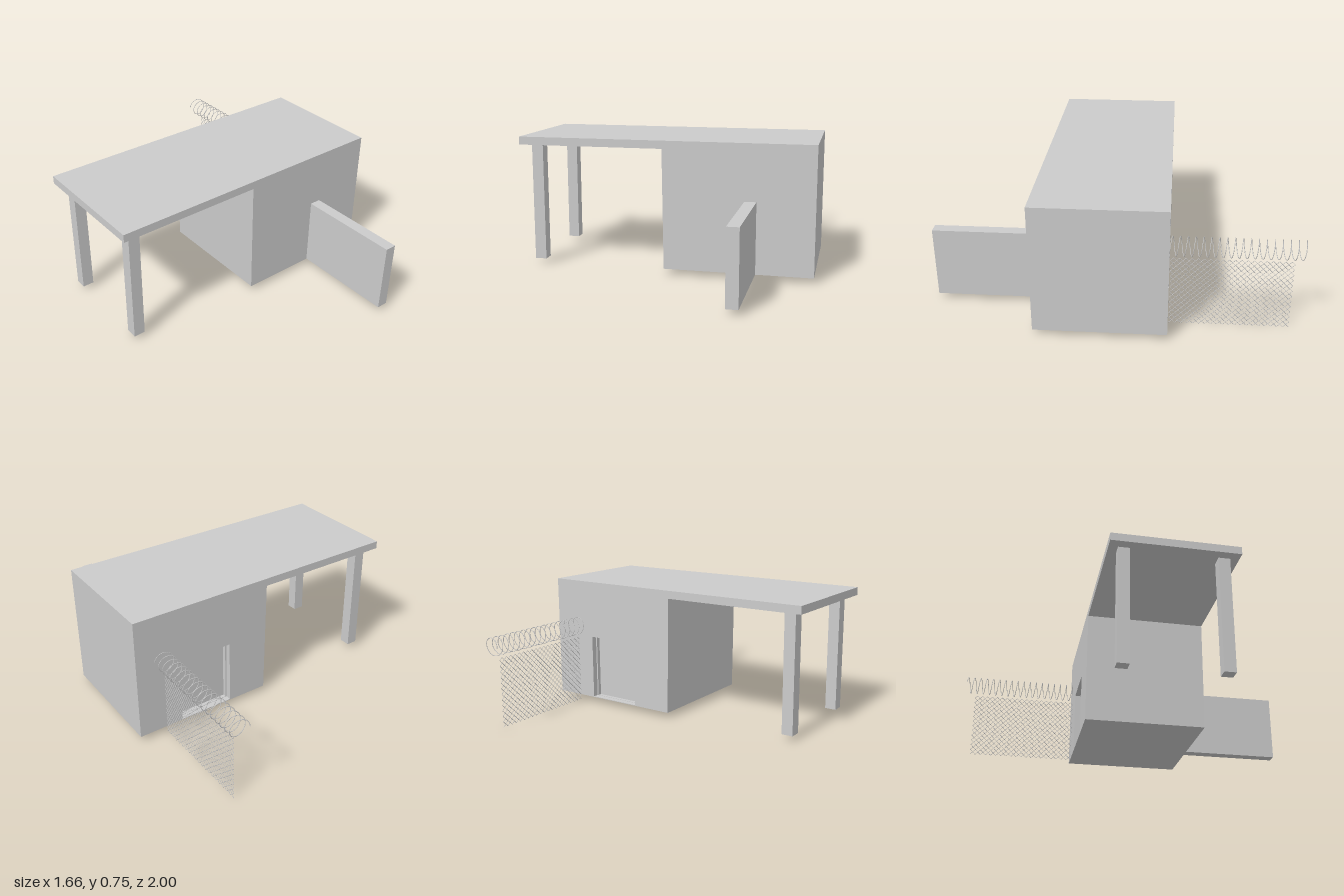
import * as THREE from 'three';

const grey = new THREE.MeshStandardMaterial({ color: 0xcccccc, flatShading: true });
const wireGrey = new THREE.MeshStandardMaterial({ color: 0xcccccc });

function add(parent, name, geometry, material = grey) {
  const mesh = new THREE.Mesh(geometry, material);
  mesh.name = name;
  parent.add(mesh);
  return mesh;
}

// Box given by its minimum and maximum corners
function block(parent, name, [x0, y0, z0], [x1, y1, z1]) {
  const mesh = add(parent, name, new THREE.BoxGeometry(x1 - x0, y1 - y0, z1 - z0));
  mesh.position.set((x0 + x1) / 2, (y0 + y1) / 2, (z0 + z1) / 2);
}

// Front outline of house and overhanging roof, with an optional doorway [x0, x1, y0, y1]
function houseSlice(z0, z1, door) {
  const shape = new THREE.Shape([
    [0.005, 0.03], [0.83, 0.03], [0.83, 0.745], [-0.83, 0.745], [-0.83, 0.7], [-0.005, 0.7],
  ].map(([x, y]) => new THREE.Vector2(x, y)));
  if (door) {
    const [a, b, c, d] = door;
    shape.holes.push(new THREE.Path([[a, c], [a, d], [b, d], [b, c]].map(([x, y]) => new THREE.Vector2(x, y))));
  }
  return new THREE.ExtrudeGeometry(shape, { depth: z1 - z0, bevelEnabled: false }).translate(0, 0, z0);
}

class Helix extends THREE.Curve {
  constructor(x, y, z0, z1, radius, turns) {
    super();
    Object.assign(this, { x, y, z0, z1, radius, turns });
  }
  getPoint(t, target = new THREE.Vector3()) {
    const a = t * this.turns * Math.PI * 2;
    return target.set(
      this.x + this.radius * Math.cos(a),
      this.y + this.radius * Math.sin(a),
      this.z0 + (this.z1 - this.z0) * t,
    );
  }
}

// Diamond mesh: two sets of diagonal wires clipped to the fence rectangle
function buildFence() {
  const fence = new THREE.Group();
  fence.name = 'wireFence';
  const x = 0.667, z0 = -0.94, length = 0.64, height = 0.4, pitch = 0.032, radius = 0.0015;
  for (const mirror of [false, true]) {
    for (let c = -height + pitch / 2; c < length; c += pitch) {
      const s0 = Math.max(0, c), s1 = Math.min(length, c + height);
      const toZ = (s) => z0 + (mirror ? length - s : s);
      const a = new THREE.Vector3(x, s0 - c, toZ(s0));
      const b = new THREE.Vector3(x, s1 - c, toZ(s1));
      const wire = add(fence, 'fenceWire', new THREE.CylinderGeometry(radius, radius, a.distanceTo(b), 5), wireGrey);
      wire.position.addVectors(a, b).multiplyScalar(0.5);
      wire.quaternion.setFromUnitVectors(new THREE.Vector3(0, 1, 0), b.sub(a).normalize());
    }
  }
  return fence;
}

export function createModel() {
  const model = new THREE.Group();
  model.name = 'guardHouse';

  // House and roof, with a stepped doorway recessed into the back wall
  add(model, 'houseAndRoof', houseSlice(-0.24, 0.415));
  add(model, 'doorFrame', houseSlice(-0.262, -0.24, [0.253, 0.557, 0.036, 0.403]));
  add(model, 'backWall', houseSlice(-0.295, -0.262, [0.245, 0.565, 0.034, 0.41]));

  // Posts under the overhang
  for (const z of [-0.245, 0.3]) block(model, 'roofPost', [-0.775, 0.03, z], [-0.71, 0.7, z + 0.065]);

  // Low wall reaching out from the front
  block(model, 'frontWall', [0.45, 0.03, 0.415], [0.515, 0.43, 1]);

  // Fence behind the house with coiled wire along its top
  model.add(buildFence());
  const helix = new Helix(0.667, 0.47, -0.295, -0.999, 0.052, 17.5);
  add(model, 'coiledWire', new THREE.TubeGeometry(helix, 420, 0.002, 5), wireGrey);

  return model;
}
